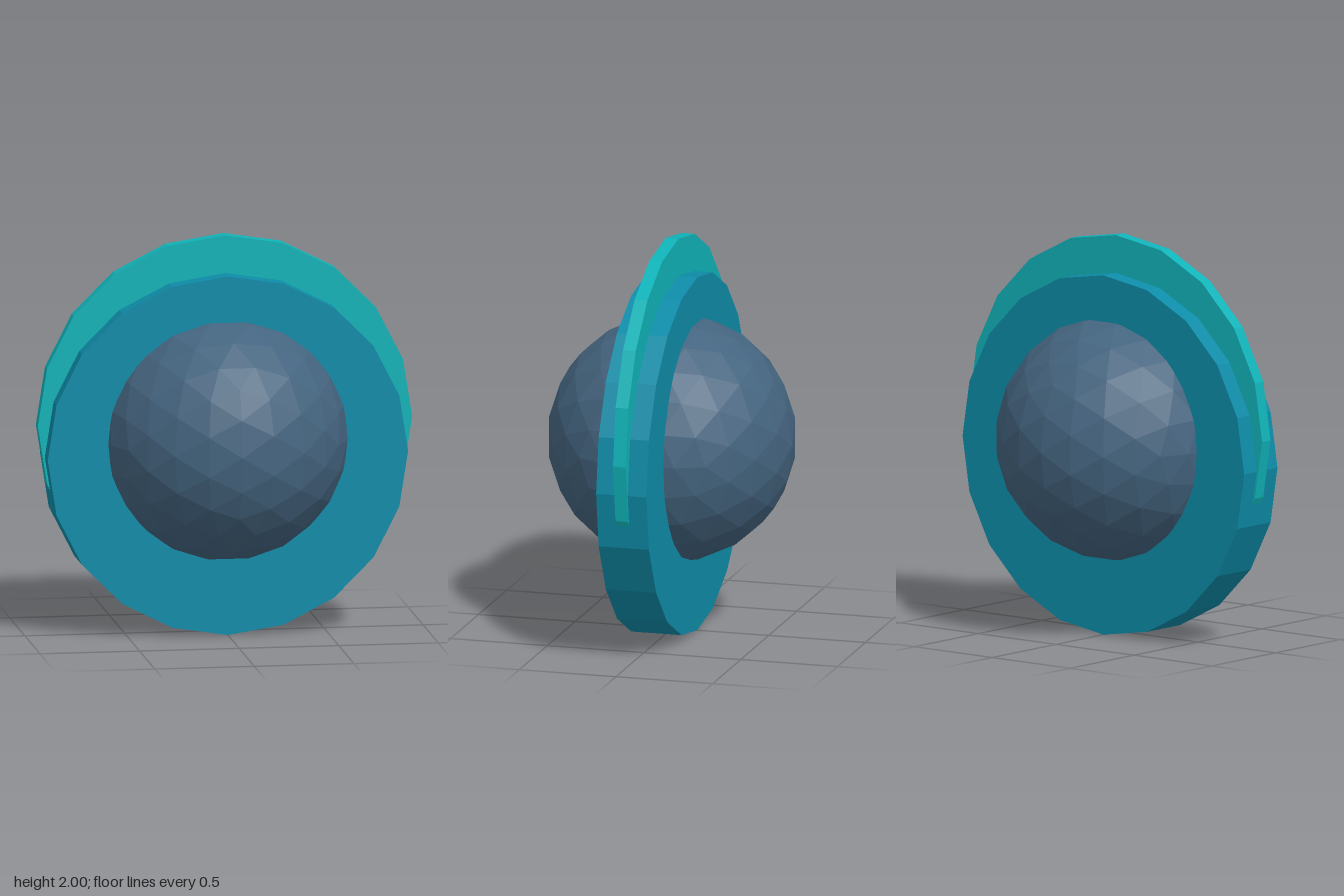
import * as THREE from 'three';

function part(name, geometry, color, y) {
  const material = new THREE.MeshStandardMaterial({ color, flatShading: true });
  const mesh = new THREE.Mesh(geometry, material);
  mesh.name = name;
  mesh.position.y = y;
  return mesh;
}

// Upright 20-sided disc facing the front
function disc(radius, depth) {
  return new THREE.CylinderGeometry(radius, radius, depth, 20).rotateX(Math.PI / 2);
}

export function createModel() {
  const model = new THREE.Group();
  model.name = 'ringedBall';

  // Faceted ball through the middle
  model.add(part('ball', new THREE.IcosahedronGeometry(0.62, 3), 0x44647f, 0.98));
  // Thick lower disc
  model.add(part('thickDisc', disc(0.905, 0.26), 0x0e8ca8, 0.905));
  // Thin, slightly larger disc set higher
  model.add(part('thinDisc', disc(0.94, 0.066), 0x10b3b8, 1.06));

  return model;
}
